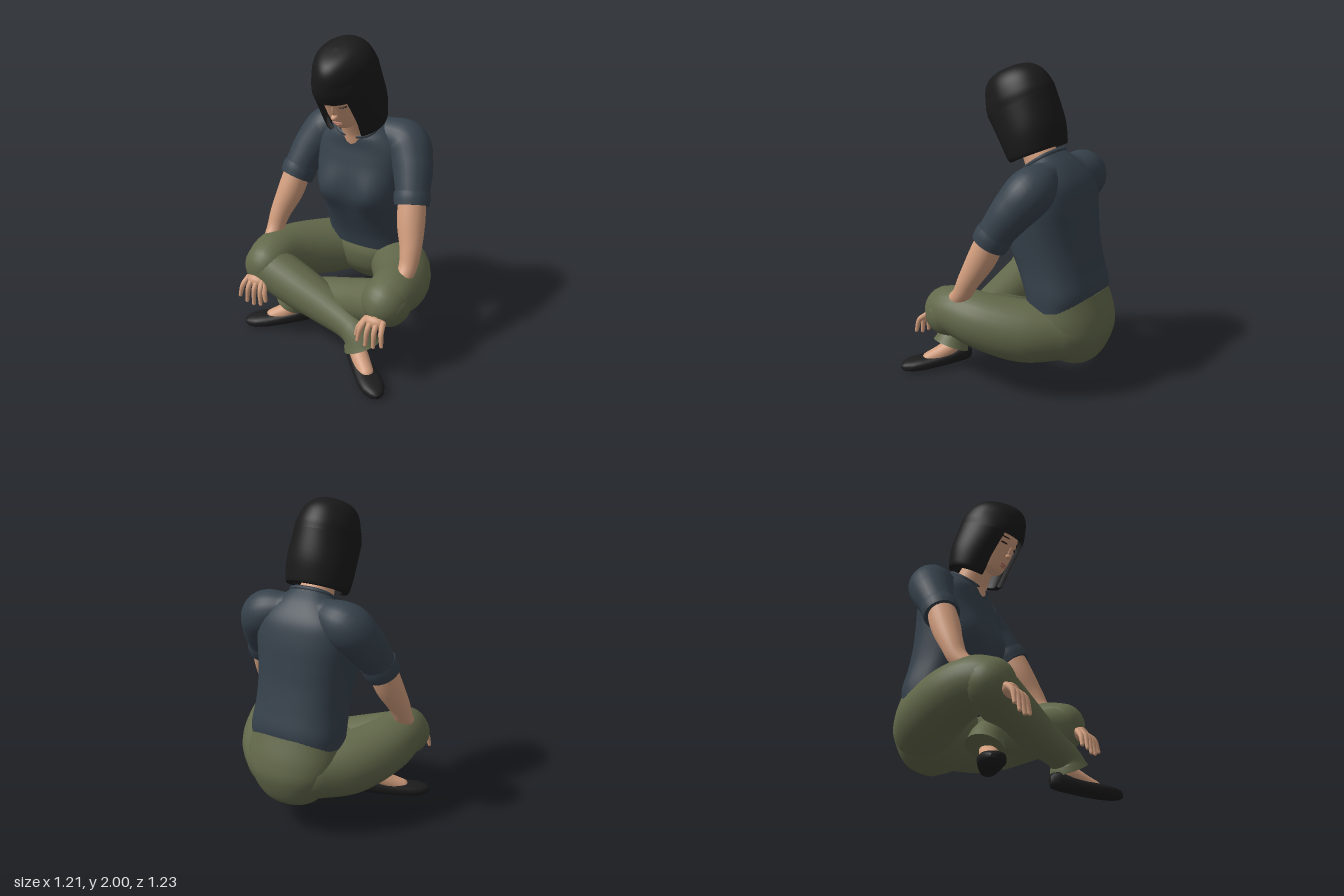
import * as THREE from 'three';

const mat = (name, color, side = THREE.FrontSide) => {
  const m = new THREE.MeshStandardMaterial({ color, side });
  m.name = name;
  return m;
};
const V = (x, y, z) => new THREE.Vector3(x, y, z);
const TAU = Math.PI * 2;

// Skin a list of equal-length rings; optional flat fans close the ends
function loft(rings, { closed = true, caps = true } = {}) {
  const n = rings[0].length, pos = [], idx = [];
  rings.forEach(r => r.forEach(p => pos.push(p.x, p.y, p.z)));
  for (let i = 0; i < rings.length - 1; i++)
    for (let j = 0; j < (closed ? n : n - 1); j++) {
      const a = i * n + j, b = i * n + (j + 1) % n;
      idx.push(a, b, a + n, b, b + n, a + n);
    }
  if (caps) [rings[0], rings[rings.length - 1]].forEach((r, end) => {
    const base = pos.length / 3;
    const c = r.reduce((s, p) => s.add(p), V(0, 0, 0)).divideScalar(n);
    r.forEach(p => pos.push(p.x, p.y, p.z));
    pos.push(c.x, c.y, c.z);
    for (let j = 0; j < n; j++) {
      const a = base + j, b = base + (j + 1) % n;
      idx.push(...(end ? [a, b, base + n] : [b, a, base + n]));
    }
  });
  const g = new THREE.BufferGeometry();
  g.setAttribute('position', new THREE.Float32BufferAttribute(pos, 3));
  g.setIndex(idx);
  g.computeVertexNormals();
  return g;
}

// Tube through [x, y, z, radius] stations, with rounded ends where asked
function limb(stations, { round = [1, 1], seg = 28, sides = 24 } = {}) {
  const path = new THREE.CatmullRomCurve3(stations.map(s => V(s[0], s[1], s[2])));
  const rad = new THREE.CatmullRomCurve3(stations.map((s, i) => V(s[3], i, 0)), false, 'catmullrom');
  const f = path.computeFrenetFrames(seg), rings = [];
  const ring = (i, r, shift) => {
    const c = path.getPointAt(i / seg).addScaledVector(f.tangents[i], shift);
    rings.push(Array.from({ length: sides }, (_, j) => {
      const a = j / sides * TAU;
      return c.clone().addScaledVector(f.normals[i], r * Math.cos(a)).addScaledVector(f.binormals[i], r * Math.sin(a));
    }));
  };
  const r0 = stations[0][3], r1 = stations[stations.length - 1][3];
  if (round[0]) for (let k = 6; k > 0; k--) ring(0, r0 * Math.cos(k * 0.258), -r0 * Math.sin(k * 0.258));
  for (let i = 0; i <= seg; i++) ring(i, rad.getPoint(path.getUtoTmapping(i / seg)).x, 0);
  if (round[1]) for (let k = 1; k <= 6; k++) ring(seg, r1 * Math.cos(k * 0.258), r1 * Math.sin(k * 0.258));
  return loft(rings);
}

// Body sections: rows of [half width, front z, front y, back z, back y], smoothed upwards
function sections(rows, { steps = 30, sides = 48, power = 1, from = 0, scale = 1 } = {}) {
  const A = new THREE.CatmullRomCurve3(rows.map(r => V(r[0], r[1], r[2])), false, 'catmullrom');
  const B = new THREE.CatmullRomCurve3(rows.map(r => V(r[3], r[4], 0)), false, 'catmullrom');
  const soft = v => Math.sign(v) * Math.abs(v) ** power;
  return Array.from({ length: steps + 1 }, (_, i) => {
    const a = A.getPoint(i / steps), b = B.getPoint(i / steps);
    const count = from ? sides + 1 : sides;
    return Array.from({ length: count }, (_, j) => {
      const th = from + j / sides * (TAU - 2 * from);
      const t = (1 + scale * soft(Math.cos(th))) / 2;
      return V(a.x * scale * soft(Math.sin(th)), b.y + (a.z - b.y) * t, b.x + (a.y - b.x) * t);
    });
  });
}

export function createModel() {
  const skin = mat('skin', 0xd09c7c), shirtM = mat('shirt cloth', 0x36414b, THREE.DoubleSide);
  const pants = mat('trouser cloth', 0x62684a, THREE.DoubleSide), hairM = mat('hair', 0x1a1a1a, THREE.DoubleSide);
  const shoeM = mat('shoe', 0x1c1c1d), lipM = mat('lips', 0xb87b68), lash = mat('lashes', 0x2a1d18);
  const model = new THREE.Group();
  const add = (name, geo, m, parent = model) => {
    const mesh = new THREE.Mesh(geo, m);
    mesh.name = name;
    parent.add(mesh);
    return mesh;
  };
  const blob = (name, m, parent, p, s, rotY = 0) => {
    const b = add(name, new THREE.SphereGeometry(1, 20, 14), m, parent);
    b.position.set(...p);
    b.scale.set(...s);
    b.rotation.y = rotY;
  };

  // Shirt body with a bust pushed out of the front
  const torso = sections([
    [.3, -.14, .54, -.535, .6], [.3, -.11, .65, -.54, .68], [.29, -.04, .82, -.51, .8],
    [.295, .0, .95, -.475, .95], [.305, .0, 1.08, -.455, 1.08], [.315, -.02, 1.19, -.435, 1.21],
    [.3, -.04, 1.28, -.4, 1.33], [.22, -.045, 1.34, -.325, 1.43], [.14, -.05, 1.365, -.24, 1.5],
  ], { steps: 40, power: 0.8 });
  torso.forEach(r => r.forEach(p => {
    if (p.z > -.2) p.z += .05 * Math.exp(-((Math.abs(p.x) - .17) ** 2) / .016 - (p.y - .99) ** 2 / .016);
  }));
  add('shirt', loft(torso), shirtM);
  const neckline = new THREE.CatmullRomCurve3(torso[40].filter((_, i) => i % 3 === 0), true);
  add('collar', new THREE.TubeGeometry(neckline, 64, .013, 8, true), shirtM);
  add('neck', limb([[0, 1.35, -.16, .125], [0, 1.42, -.13, .11], [0, 1.6, -.03, .09]]), skin);

  // Hips
  add('hips', loft(sections([
    [.06, -.38, .18, -.46, .175], [.19, -.26, .24, -.55, .23], [.28, -.16, .35, -.61, .38],
    [.305, -.13, .47, -.6, .5], [.29, -.15, .56, -.545, .65],
  ], { power: 0.9 })), pants);

  // Arms and hands, resting on the knees
  for (const s of [1, -1]) {
    const arm = new THREE.Group();
    arm.name = s > 0 ? 'leftArm' : 'rightArm';
    model.add(arm);
    const at = rows => rows.map(([x, y, z, r]) => [x * s, y, z, r]);
    add('sleeve', limb(at([[.13, 1.35, -.24, .105], [.28, 1.305, -.245, .145], [.362, 1.2, -.18, .13],
      [.405, 1.09, -.11, .112], [.427, 1.02, -.07, .104]]), { round: [1, 0] }), shirtM, arm);
    add('sleeveCuff', limb(at([[.411, 1.065, -.092, .112], [.421, 1.03, -.075, .115], [.431, .99, -.055, .11]]),
      { round: [0, 0], seg: 6 }), shirtM, arm);
    add('forearm', limb(at([[.42, 1.06, -.08, .085], [.45, .9, -.015, .088], [.49, .75, .06, .068],
      [.5, .64, .12, .056], [.475, .52, .28, .045], [.45, .44, .385, .045]])), skin, arm);
    blob('palm', skin, arm, [.443 * s, .415, .41], [.072, .042, .045]);
    for (let k = 0; k < 4; k++) {
      const x = .392 + k * .037, tip = .285 + [.01, -.005, 0, .025][k], spread = (k - 1.5) * .009;
      add('finger', limb(at([[x, .425, .42, .019], [x + spread, .385, .465, .017],
        [x + spread * 2, tip, .483, .012]]), { seg: 10, sides: 10 }), skin, arm);
    }
    add('thumb', limb(at([[.385, .42, .415, .02], [.355, .37, .45, .017], [.342, .315, .46, .013]]),
      { seg: 10, sides: 10 }), skin, arm);

    add(s > 0 ? 'leftThigh' : 'rightThigh', limb(at([[.15, .41, -.375, .18], [.3, .42, -.2, .193],
      [.418, .47, .03, .176], [.447, .5, .2, .157], [.44, .485, .28, .149]])), pants);
  }

  // Crossed shins: the right one passes in front
  add('rightShin', limb([[-.45, .47, .28, .148], [-.2, .385, .29, .142], [.05, .315, .31, .12],
    [.23, .265, .34, .098], [.305, .225, .36, .1], [.335, .165, .367, .12]], { round: [1, 0] }), pants);
  add('leftShin', limb([[.45, .47, .27, .148], [.2, .38, .22, .137], [-.05, .31, .19, .12],
    [-.23, .265, .18, .098], [-.3, .225, .18, .098], [-.33, .165, .18, .112]], { round: [1, 0] }), pants);

  // Feet: flat shoes lofted from heel to toe, rows of [z, half width, bottom, top]
  const shoeRows = [[-.235, .018, .06, .105], [-.222, .036, .04, .13], [-.18, .052, .03, .14], [-.1, .06, .02, .115],
    [0, .069, .01, .095], [.1, .078, .003, .085], [.17, .07, .002, .075], [.218, .046, .005, .062], [.24, .014, .018, .042]];
  for (const [name, x, z, yaw] of [['rightFoot', .39, .447, .9], ['leftFoot', -.385, .25, -.96]]) {
    const foot = new THREE.Group();
    foot.name = name;
    foot.position.set(x, 0, z);
    foot.rotation.y = yaw;
    model.add(foot);
    add('shoe', loft(shoeRows.map(([d, w, lo, hi]) => Array.from({ length: 28 }, (_, j) => {
      const a = j / 28 * TAU, q = v => Math.sign(v) * Math.abs(v) ** .8;
      return V(w * q(Math.cos(a)), (lo + hi) / 2 + (hi - lo) / 2 * q(Math.sin(a)), d);
    }))), shoeM, foot);
    add('ankle', limb([[0, .25, -.11, .052], [0, .15, -.11, .054], [0, .1, -.04, .054], [0, .062, .05, .048]]), skin, foot);
  }

  // Head, bowed forward
  const head = new THREE.Group();
  head.name = 'head';
  head.position.set(.005, 1.47, -.11);
  head.rotation.x = .436;
  model.add(head);
  add('face', loft(sections([
    [.04, .155, .05, .07, .05], [.078, .183, .08, .0, .08], [.108, .197, .15, -.09, .14],
    [.13, .2, .24, -.14, .24], [.135, .2, .32, -.15, .32], [.11, .17, .41, -.14, .41],
  ], { power: 0.92 })), skin, head);
  blob('nose', skin, head, [0, .182, .205], [.021, .017, .025]);
  blob('noseBridge', skin, head, [0, .215, .198], [.011, .042, .013]);
  blob('upperLip', lipM, head, [0, .127, .19], [.034, .008, .012]);
  blob('lowerLip', lipM, head, [0, .112, .188], [.028, .009, .013]);
  for (const s of [1, -1]) {
    blob('eye', lash, head, [.062 * s, .255, .181], [.027, .006, .009], .4 * s);
    blob('eyebrow', lash, head, [.062 * s, .293, .183], [.034, .005, .007], .4 * s);
  }

  // Bobbed hair: crown with fringe narrowing to the front, and a side curtain with an inner layer
  const crown = sections([
    [.2, .237, .305, -.235, .31], [.196, .238, .37, -.234, .37], [.172, .218, .45, -.208, .45],
    [.132, .178, .505, -.16, .505], [.08, .115, .533, -.095, .533], [0, .005, .543, .005, .543],
  ]);
  crown.forEach(r => r.forEach(p => {
    p.x *= 1 - Math.min(1, Math.max(0, p.y - .31) / .1) * Math.max(0, p.z) * .9;
  }));
  add('hairCrown', loft(crown, { caps: false }), hairM, head);
  const bob = [[.195, .18, .0, -.172, -.003], [.205, .192, .03, -.185, .03], [.212, .205, .14, -.218, .14],
    [.2, .237, .31, -.235, .31]];
  const outer = sections(bob, { steps: 12, from: .6 });
  const inner = sections(bob, { steps: 12, from: .6, scale: .84 }).reverse();
  add('hairSides', loft([...inner, ...outer], { closed: false, caps: false }), hairM, head);
  return model;
}
